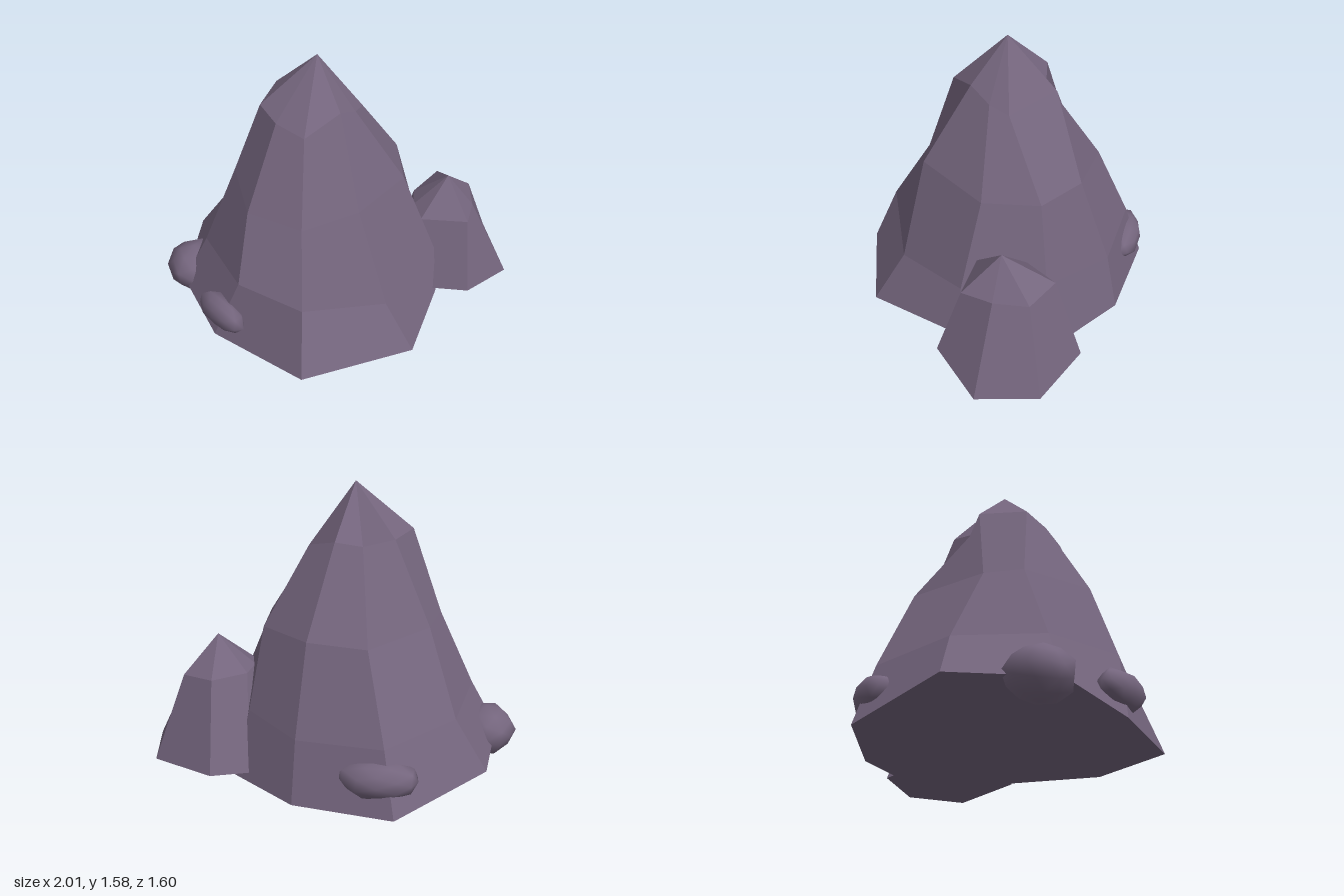
import * as THREE from 'three';
import { mergeVertices } from 'three/addons/utils/BufferGeometryUtils.js';

const stone = new THREE.MeshStandardMaterial({ color: 0x74657d });
stone.name = 'dusky purple stone';

// Faceted rock: columns of points running from base to shoulder, closed by an apex and a bottom.
function facetedRock(name, columns, apex) {
  const pos = [];
  const normals = [];
  const middle = (pts) => pts.reduce((s, p) => s.add(p), new THREE.Vector3()).divideScalar(pts.length);

  // One flat-shaded facet, fanned from its middle; corners run counter-clockwise
  const facet = (corners) => {
    const pts = corners.map((p) => new THREE.Vector3(...p));
    const centre = middle(pts);
    const normal = new THREE.Vector3();
    pts.forEach((p, i) => normal.add(p.clone().sub(centre).cross(pts[(i + 1) % pts.length].clone().sub(centre))));
    normal.normalize();
    pts.forEach((p, i) => {
      for (const v of [p, pts[(i + 1) % pts.length], centre]) {
        pos.push(v.x, v.y, v.z);
        normals.push(normal.x, normal.y, normal.z);
      }
    });
  };

  columns.forEach((a, i) => {
    const b = columns[(i + 1) % columns.length];
    for (let j = 0; j < a.length - 1; j++) facet([b[j], a[j], a[j + 1], b[j + 1]]);
    facet([b[b.length - 1], a[a.length - 1], apex]);
  });
  facet(columns.map((c) => c[0]));

  const geo = new THREE.BufferGeometry();
  geo.setAttribute('position', new THREE.Float32BufferAttribute(pos, 3));
  geo.setAttribute('normal', new THREE.Float32BufferAttribute(normals, 3));
  const mesh = new THREE.Mesh(geo, stone);
  mesh.name = name;
  return mesh;
}

// Smooth, slightly lumpy pebble.
function pebble(name, centre, radii, turn, seed) {
  let geo = new THREE.IcosahedronGeometry(1, 1);
  geo.deleteAttribute('normal');
  geo.deleteAttribute('uv');
  geo = mergeVertices(geo, 1e-3);
  const p = geo.attributes.position;
  const v = new THREE.Vector3();
  for (let i = 0; i < p.count; i++) {
    v.fromBufferAttribute(p, i);
    v.multiplyScalar(0.97 + 0.06 * Math.sin(v.x * 5 + v.y * 3 + v.z * 4 + seed));
    p.setXYZ(i, v.x * radii[0], v.y * radii[1], v.z * radii[2]);
  }
  geo.computeVertexNormals();
  const mesh = new THREE.Mesh(geo, stone);
  mesh.name = name;
  mesh.position.set(...centre);
  mesh.rotation.y = turn;
  return mesh;
}

export function createModel() {
  const group = new THREE.Group();
  group.name = 'rockSpire';

  // Tall main spire, columns clockwise seen from above
  group.add(facetedRock('mainSpire', [
    [[0.52, 0.08, 0.51], [0.35, 0.3, 0.4], [0.18, 0.86, 0.33], [0.04, 1.32, 0.1]],
    [[-0.05, 0.04, 0.8], [-0.07, 0.4, 0.65], [-0.11, 0.77, 0.43], [-0.12, 1.25, 0.27]],
    [[-0.61, 0.04, 0.54], [-0.45, 0.43, 0.53], [-0.41, 0.83, 0.4], [-0.29, 1.27, 0.18]],
    [[-0.88, 0.14, 0.22], [-0.74, 0.42, 0.16], [-0.57, 0.86, 0.05], [-0.4, 1.31, 0.07]],
    [[-0.93, 0.14, -0.34], [-0.75, 0.4, -0.31], [-0.56, 0.84, -0.16], [-0.37, 1.31, -0.19]],
    [[-0.55, 0.02, -0.78], [-0.47, 0.36, -0.69], [-0.33, 0.82, -0.53], [-0.21, 1.27, -0.24]],
    [[0, 0.01, -0.78], [0, 0.35, -0.71], [0, 0.82, -0.53], [-0.09, 1.31, -0.34]],
    [[0.42, 0, -0.56], [0.36, 0.36, -0.47], [0.29, 0.83, -0.4], [0.12, 1.23, -0.15]],
    [[0.6, 0.06, -0.03], [0.57, 0.37, -0.05], [0.37, 0.82, -0.09], [0.1, 1.26, -0.03]],
  ], [-0.11, 1.575, -0.05]));

  // Smaller spire beside it
  group.add(facetedRock('smallSpire', [
    [[1, 0.05, -0.3], [0.765, 0.52, -0.31]],
    [[0.79, 0.11, 0], [0.75, 0.52, -0.13]],
    [[0.4, 0.1, 0.01], [0.48, 0.52, -0.11]],
    [[0.22, 0.07, -0.22], [0.42, 0.53, -0.23]],
    [[0.31, 0.05, -0.6], [0.41, 0.53, -0.37]],
    [[0.49, 0.06, -0.72], [0.53, 0.55, -0.57]],
    [[0.87, 0.05, -0.62], [0.73, 0.53, -0.5]],
  ], [0.61, 0.715, -0.3]));

  // Pebbles embedded around the foot
  group.add(pebble('sidePebble', [-0.84, 0.17, 0.11], [0.165, 0.145, 0.18], 0.2, 0));
  group.add(pebble('frontPebble', [-0.56, 0.2, 0.52], [0.19, 0.1, 0.08], -0.65, 2));
  group.add(pebble('backPebble', [-0.44, 0.19, -0.68], [0.22, 0.11, 0.12], 0.15, 4));
  return group;
}
